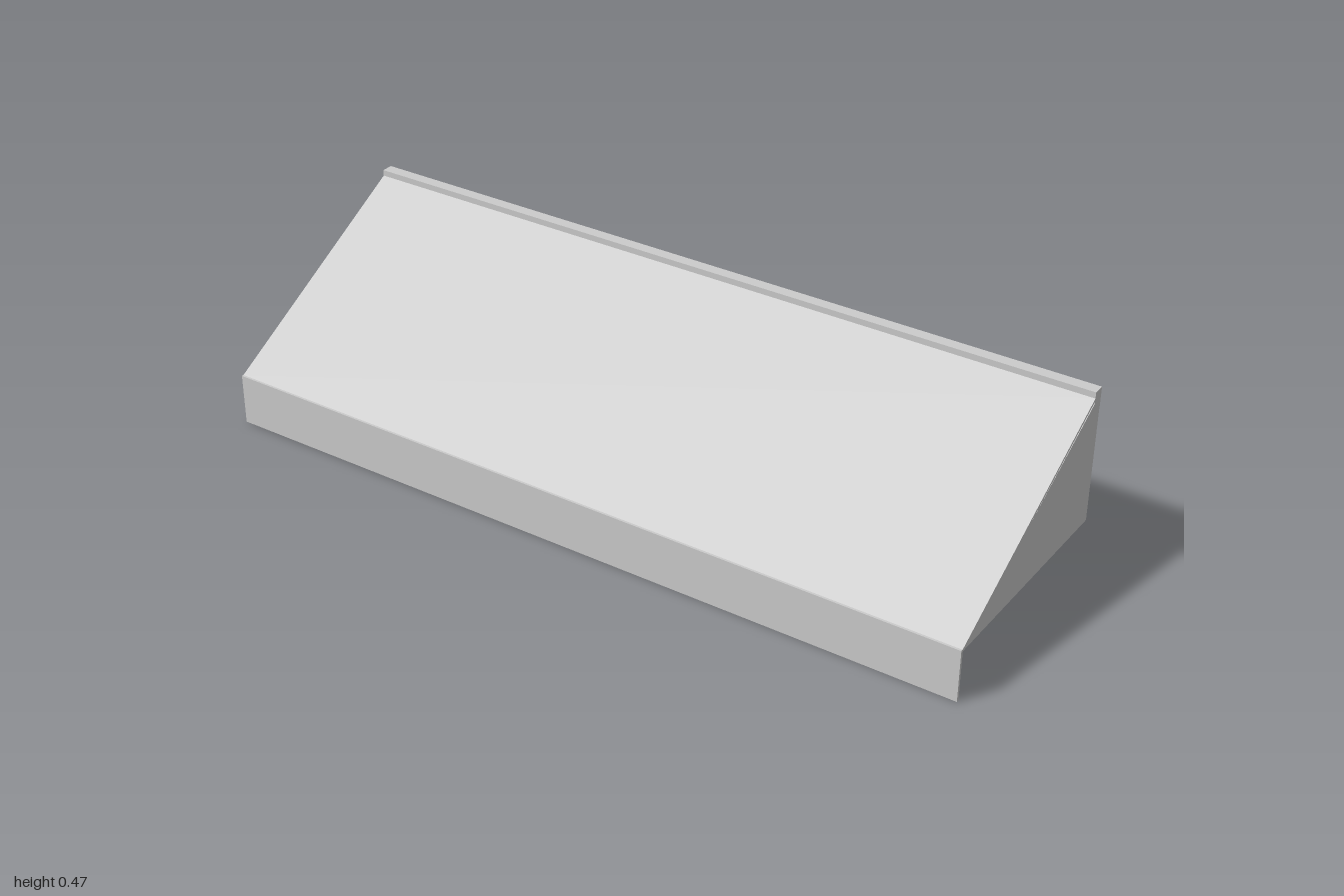
import * as THREE from 'three';

// Sloped awning: panel, front valance, rear rail and two triangular cheeks.
export function createModel() {
  const group = new THREE.Group();
  const grey = new THREE.MeshStandardMaterial({ color: 0xcccccc });
  grey.name = 'light grey';

  // Extrudes a (z, y) outline along x, from x0 to x1.
  function addProfile(name, points, x0, x1) {
    const shape = new THREE.Shape(points.map(([z, y]) => new THREE.Vector2(-z, y)));
    const geometry = new THREE.ExtrudeGeometry(shape, { depth: x1 - x0, bevelEnabled: false });
    geometry.rotateY(Math.PI / 2).translate(x0, 0, 0);
    const mesh = new THREE.Mesh(geometry, grey);
    mesh.name = name;
    group.add(mesh);
  }

  function addBar(name, y0, y1, z0, z1) {
    const mesh = new THREE.Mesh(new THREE.BoxGeometry(2, y1 - y0, z1 - z0), grey);
    mesh.name = name;
    mesh.position.set(0, (y0 + y1) / 2, (z0 + z1) / 2);
    group.add(mesh);
  }

  // Thin sloped roof sheet
  addProfile('roofPanel', [[0.3, 0.125], [0.3, 0.132], [-0.275, 0.455], [-0.275, 0.447]], -1, 1);

  // Hanging front strip and wall rail
  addBar('frontValance', 0, 0.133, 0.297, 0.304);
  addBar('rearRail', 0.417, 0.47, -0.304, -0.274);

  // Side cheeks, whose top edge drops slightly below the roof toward the back
  const cheek = [[0.297, 0.128], [0.06, 0.26], [-0.273, 0.441], [-0.303, 0.441], [-0.303, 0.121]];
  addProfile('leftCheek', cheek, 0.996, 1);
  addProfile('rightCheek', cheek, -1, -0.996);

  return group;
}
